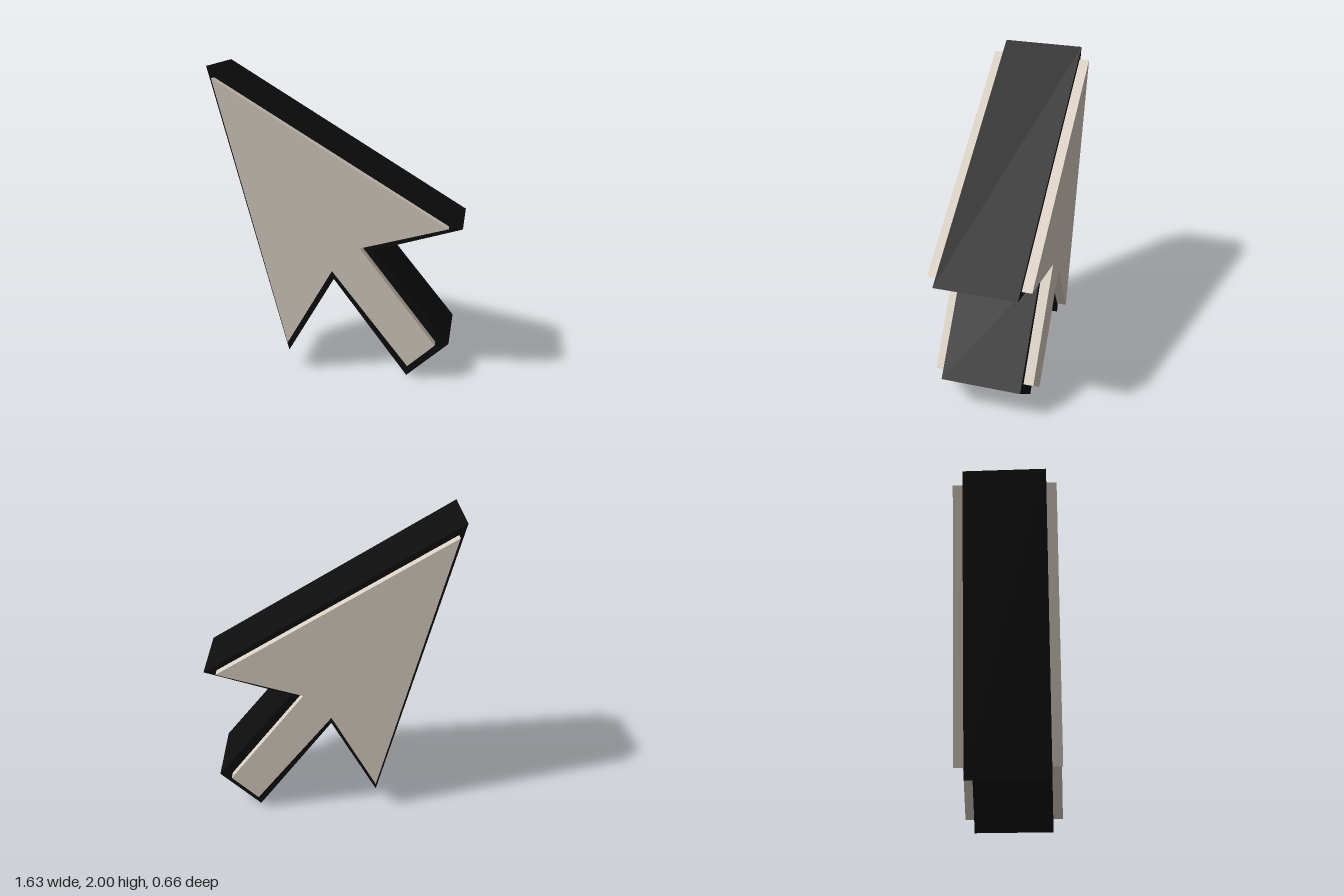
import * as THREE from 'three';

// Arrow outlines, clockwise from the tip
const OUTER = [[-0.815, 2], [0.815, 1.015], [0.255, 0.85], [0.75, 0.24], [0.48, 0], [-0.005, 0.64], [-0.31, 0.12]];
const INNER = [[-0.765, 1.93], [0.73, 1.03], [0.175, 0.877], [0.665, 0.25], [0.49, 0.093], [-0.005, 0.715], [-0.305, 0.2]];

// Straight-sided slab of an outline, centred on z = 0
function slab(name, outline, depth, material) {
  const shape = new THREE.Shape(outline.map(([x, y]) => new THREE.Vector2(x, y)));
  const geometry = new THREE.ExtrudeGeometry(shape, { depth, bevelEnabled: false });
  geometry.translate(0, 0, -depth / 2);
  const mesh = new THREE.Mesh(geometry, material);
  mesh.name = name;
  return mesh;
}

export function createModel() {
  const black = new THREE.MeshStandardMaterial({ color: 0x0d0d0d });
  black.name = 'black';
  const beige = new THREE.MeshStandardMaterial({ color: 0xd8cec2 });
  beige.name = 'warm beige';

  const group = new THREE.Group();
  group.name = 'arrowPointer';
  // Wide dark border, and a narrower core standing proud on both faces
  group.add(slab('border', OUTER, 0.53, black));
  group.add(slab('core', INNER, 0.66, beige));
  return group;
}
